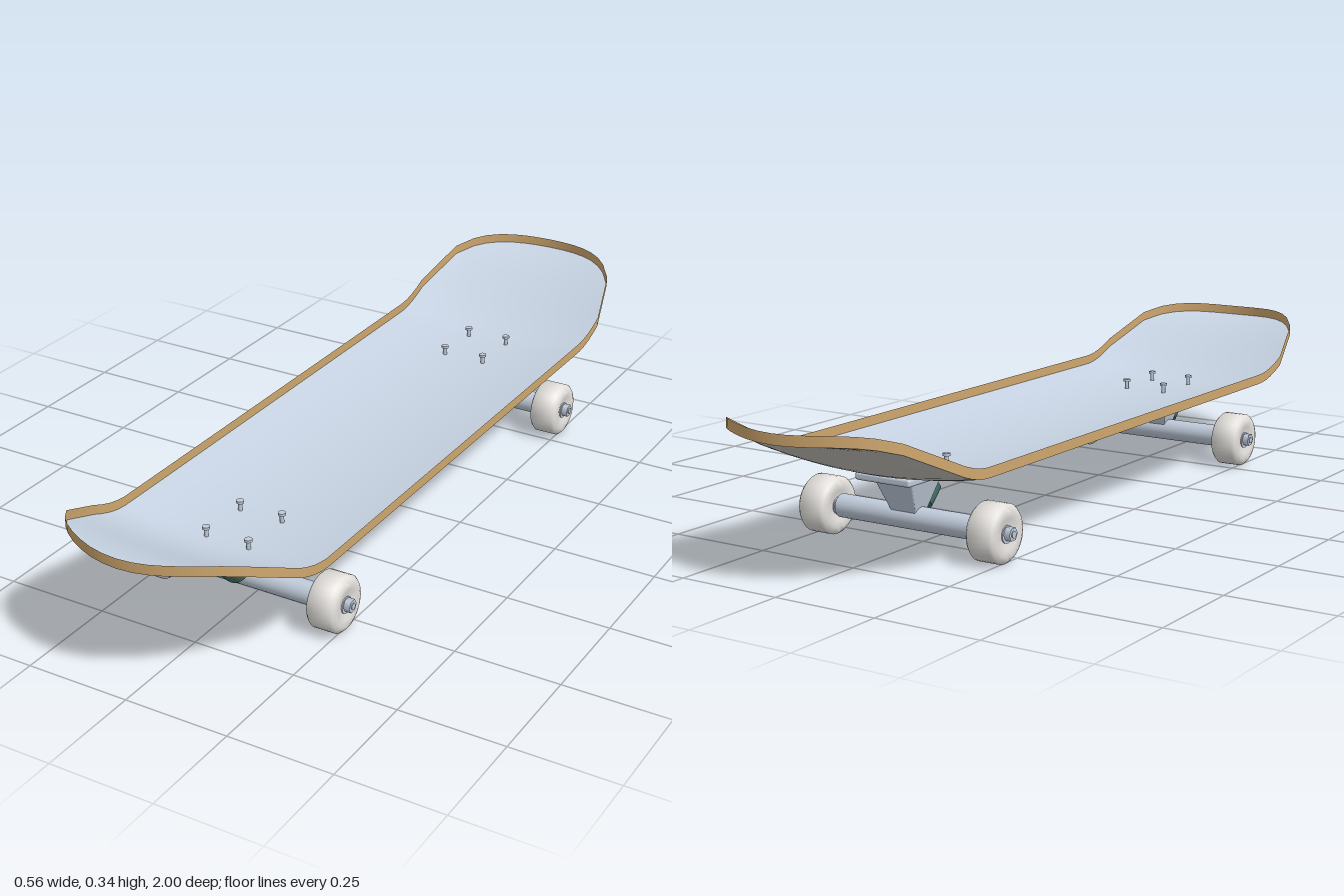
import * as THREE from 'three';
import { toCreasedNormals } from 'three/addons/utils/BufferGeometryUtils.js';
import { RoundedBoxGeometry } from 'three/addons/geometries/RoundedBoxGeometry.js';

const HALF = 0.263, STRAIGHT = 0.737, RIM = 0.024;

function material(name, color, side = THREE.FrontSide) {
  const m = new THREE.MeshStandardMaterial({ color, side });
  m.name = name;
  return m;
}

function add(parent, name, geometry, mat, x = 0, y = 0, z = 0) {
  const mesh = new THREE.Mesh(geometry, mat);
  mesh.name = name;
  mesh.position.set(x, y, z);
  parent.add(mesh);
  return mesh;
}

// Height of the deck's underside: dished across, kicked up at both ends
function deckHeight(x, z) {
  return 0.18 + 0.025 * (x / HALF) ** 2 + 0.135 * THREE.MathUtils.smoothstep(Math.abs(z), 0.62, 1);
}

function buildGeometry(points, index) {
  const g = new THREE.BufferGeometry();
  g.setAttribute('position', new THREE.Float32BufferAttribute(points.flat(), 3));
  g.setIndex(index);
  g.computeVertexNormals();
  return g;
}

function createDeck(mats) {
  const deck = new THREE.Group();
  deck.name = 'deck';

  // Columns across the board, each ending on the semicircular nose and tail
  const side = [0, 30, 42, 50, 58, 66, 74, 82].map(a => HALF * Math.cos(a * Math.PI / 180));
  const columns = [...side.map(x => -x), 0, ...side.slice().reverse()];
  const half = [0.3, 0.6, 0.63, 0.655, 0.68, 0.71, STRAIGHT].map(z => () => z);
  for (let k = 1; k <= 12; k++) {
    half.push(x => STRAIGHT + (k / 12) * Math.sqrt(Math.max(0, HALF * HALF - x * x)));
  }
  const rows = [...half.slice().reverse().map(f => x => -f(x)), () => 0, ...half];
  const n = rows.length, m = columns.length;

  const grid = lift => columns.flatMap(x => rows.map(f => {
    const z = f(x);
    return [x, deckHeight(x, z) + lift, z];
  }));
  const bottom = grid(0), top = grid(0.001), rim = grid(RIM);
  const up = [], down = [];
  for (let i = 0; i < m - 1; i++) {
    for (let j = 0; j < n - 1; j++) {
      const a = i * n + j, b = a + 1, c = a + n, d = c + 1;
      up.push(a, b, c, b, d, c);
      down.push(a, c, b, b, c, d);
    }
  }
  add(deck, 'deckTop', buildGeometry(top, up), mats.grip);
  add(deck, 'deckUnderside', buildGeometry(bottom, down), mats.underside);

  // Thin wooden rim stands up around the outline of the sunken top
  const loop = [];
  for (let j = 0; j < n; j++) loop.push(j);
  for (let i = 1; i < m; i++) loop.push(i * n + n - 1);
  for (let j = n - 2; j >= 0; j--) loop.push((m - 1) * n + j);
  for (let i = m - 2; i > 0; i--) loop.push(i * n);
  const outline = loop.filter((p, k) => {
    const q = loop[(k + 1) % loop.length];
    return Math.hypot(bottom[p][0] - bottom[q][0], bottom[p][2] - bottom[q][2]) > 1e-5;
  });
  const wall = [], wallIndex = [];
  outline.forEach((p, k) => {
    const b = 2 * k, c = 2 * ((k + 1) % outline.length);
    wall.push(bottom[p], rim[p]);
    wallIndex.push(b, c, b + 1, c, c + 1, b + 1);
  });
  add(deck, 'deckRim', buildGeometry(wall, wallIndex), mats.wood);
  return deck;
}

function createWheel(mats) {
  const wheel = new THREE.Group();
  wheel.name = 'wheel';
  const sideProfile = [[0.012, 0.03], [0.022, 0.031], [0.035, 0.035], [0.05, 0.0375],
    [0.06, 0.033], [0.0665, 0.026]];
  const profile = [...sideProfile.map(([r, y]) => new THREE.Vector2(r, -y)),
    ...sideProfile.slice().reverse().map(([r, y]) => new THREE.Vector2(r, y))];
  const tyre = toCreasedNormals(new THREE.LatheGeometry(profile, 32), 0.9);
  add(wheel, 'tyre', tyre, mats.wheel);
  add(wheel, 'bearing', new THREE.CylinderGeometry(0.02, 0.02, 0.067, 24), mats.metal);
  wheel.rotation.z = Math.PI / 2;
  return wheel;
}

function createTruck(mats) {
  const truck = new THREE.Group();
  truck.name = 'truck';
  add(truck, 'basePlate', new RoundedBoxGeometry(0.147, 0.018, 0.19, 3, 0.006), mats.metal, 0, 0.1715, 0);

  // Tapered block between the plate and the axle
  const block = new RoundedBoxGeometry(0.1, 0.08, 0.12, 3, 0.006);
  const pos = block.attributes.position;
  for (let i = 0; i < pos.count; i++) {
    const t = (pos.getY(i) + 0.04) / 0.08;
    pos.setX(i, pos.getX(i) * (0.66 + 0.38 * t));
    pos.setZ(i, pos.getZ(i) * (0.35 + 0.65 * t));
  }
  block.computeVertexNormals();
  add(truck, 'hangerBlock', block, mats.metal, 0, 0.124, 0);

  // Tilted bushing with its hexagonal bolt
  const kingpin = new THREE.Group();
  kingpin.name = 'kingpin';
  kingpin.position.set(0, 0.117, 0.053);
  kingpin.rotation.x = Math.PI / 4;
  add(kingpin, 'bushing', new THREE.CylinderGeometry(0.033, 0.033, 0.048, 32), mats.bushing);
  add(kingpin, 'kingpinBolt', new THREE.CylinderGeometry(0.016, 0.016, 0.024, 6), mats.metal, 0, 0.034, 0);
  truck.add(kingpin);

  // Axle parts lie along x
  const along = (name, radius, length, sides, x) => {
    const g = new THREE.CylinderGeometry(radius, radius, length, sides).rotateZ(Math.PI / 2);
    add(truck, name, g, mats.metal, x, 0.07, 0);
  };
  along('axleHousing', 0.027, 0.37, 32, 0);
  along('axle', 0.008, 0.556, 16, 0);
  for (const s of [-1, 1]) {
    along('washer', 0.018, 0.012, 20, s * 0.19);
    along('axleNut', 0.016, 0.018, 6, s * 0.267);
    const wheel = createWheel(mats);
    wheel.position.set(s * 0.2275, 0.068, 0);
    truck.add(wheel);
  }

  // Mounting bolts standing proud of the sunken top
  for (const x of [-0.055, 0.055]) {
    for (const z of [-0.067, 0.067]) {
      add(truck, 'boltShank', new THREE.CylinderGeometry(0.005, 0.005, 0.035, 12), mats.metal, x, 0.1855, z);
      add(truck, 'boltHead', new THREE.CylinderGeometry(0.009, 0.009, 0.006, 16), mats.metal, x, 0.204, z);
    }
  }
  return truck;
}

export function createModel() {
  const mats = {
    grip: material('pale blue', 0xc8d4e4),
    metal: material('pale blue grey', 0xc0cbda),
    underside: material('warm pale grey', 0xc7c4be),
    wood: material('wood', 0xcfa76e, THREE.DoubleSide),
    wheel: material('off white', 0xe3e0dc),
    bushing: material('dark teal', 0x47736b),
  };
  const model = new THREE.Group();
  model.name = 'skateboard';
  model.add(createDeck(mats));
  for (const [name, z] of [['frontTruck', 0.548], ['rearTruck', -0.552]]) {
    const truck = createTruck(mats);
    truck.name = name;
    truck.position.z = z;
    model.add(truck);
  }
  return model;
}
